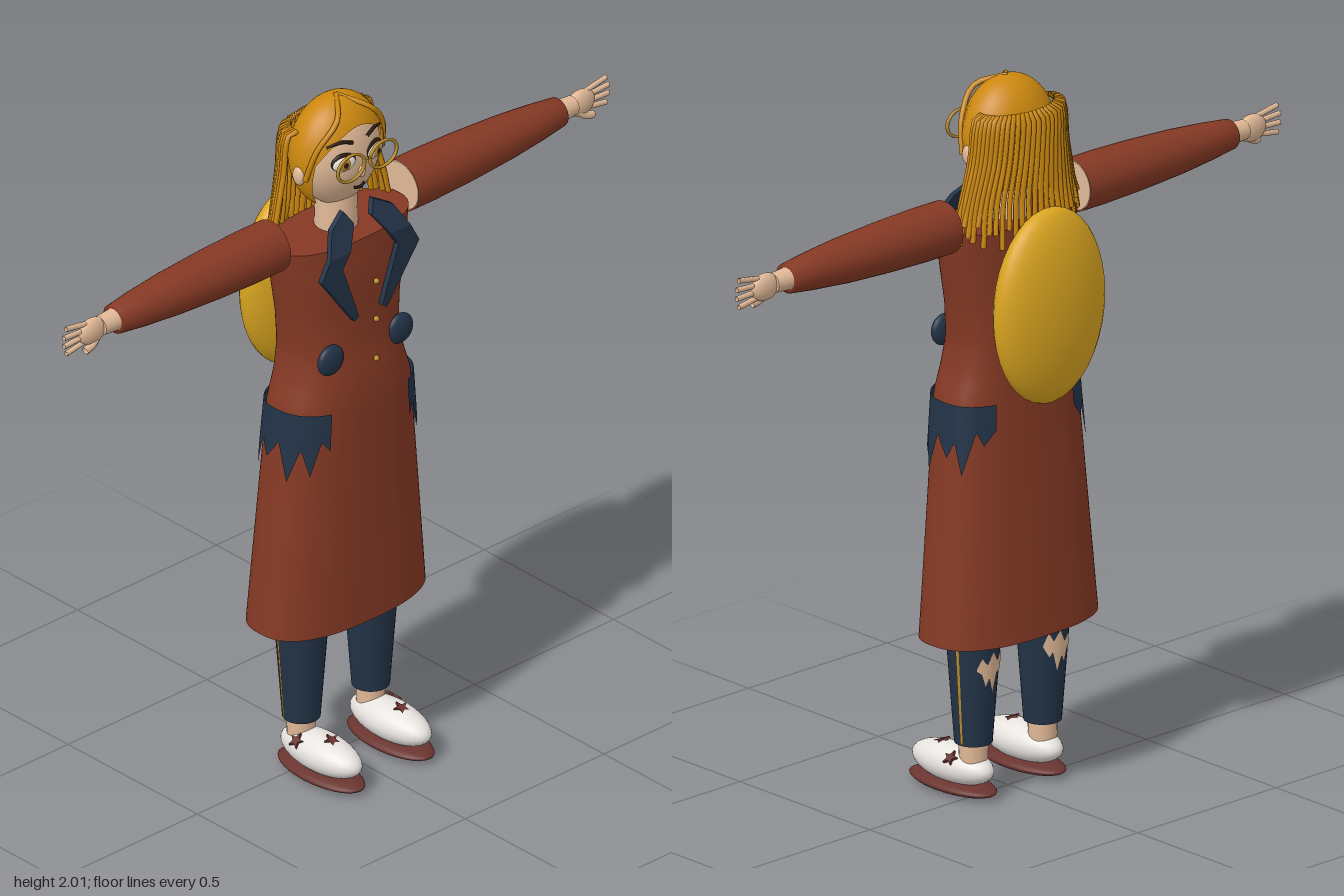
import * as THREE from 'three';
import { mergeVertices } from 'three/addons/utils/BufferGeometryUtils.js';

const mat = (name, color, side = THREE.FrontSide) => {
  const m = new THREE.MeshStandardMaterial({ color, side });
  m.name = name;
  return m;
};

// Piecewise linear lookup in rows of [key, value, value...], keys ascending
function sample(rows, k) {
  let i = 0;
  while (i < rows.length - 2 && k > rows[i + 1][0]) i++;
  const a = rows[i], b = rows[i + 1];
  const f = THREE.MathUtils.clamp((k - a[0]) / (b[0] - a[0]), 0, 1);
  return a.slice(1).map((v, j) => v + (b[j + 1] - v) * f);
}

// Surface from fn(u, v) => [x, y, z]
function grid(nu, nv, fn) {
  const pos = [], idx = [];
  for (let j = 0; j <= nv; j++) for (let i = 0; i <= nu; i++) pos.push(...fn(i / nu, j / nv));
  for (let j = 0; j < nv; j++) for (let i = 0; i < nu; i++) {
    const a = j * (nu + 1) + i, b = a + 1, c = a + nu + 1, d = c + 1;
    idx.push(a, b, c, b, d, c);
  }
  let g = new THREE.BufferGeometry();
  g.setAttribute('position', new THREE.Float32BufferAttribute(pos, 3));
  g.setIndex(idx);
  g = mergeVertices(g);
  g.computeVertexNormals();
  return g;
}

// Cloth strip on surf(t, y, offset), between a top and a bottom edge given over u
const strip = (surf, t0, t1, top, bottom, off, n = 48) => grid(n, 6, (u, v) => {
  const hi = sample(top, u)[0], lo = sample(bottom, u)[0];
  return surf(t0 + (t1 - t0) * u, hi + (lo - hi) * v, off);
});

// Coat sections: y, half width, front z, back z
const COAT = [[0.46, 0.275, 0.145, 0.15], [1.13, 0.215, 0.143, 0.108], [1.2, 0.19, 0.138, 0.106],
  [1.28, 0.177, 0.125, 0.106], [1.38, 0.185, 0.121, 0.104], [1.5, 0.207, 0.122, 0.102], [1.61, 0.225, 0.115, 0.1]];
const coatAt = (t, y, off = 0, k = 1) => {
  const [w, f, b] = sample(COAT, y), c = Math.cos(t), s = Math.sin(t);
  const p = (q) => Math.sign(q) * Math.abs(q) ** 0.8;
  return [p(c) * (w + off) * k, y, p(s) * ((s > 0 ? f : b) + off) * k];
};
const LEG_X = 0.125;
const legAt = (t, y, off = 0) => {
  const r = 0.051 + (y - 0.155) * 0.075 + off;
  return [LEG_X + Math.cos(t) * r, y, Math.sin(t) * r];
};

export function createModel() {
  const D = THREE.DoubleSide;
  const coat = mat('coat rust', 0x853924, D), navy = mat('navy cloth', 0x223347, D);
  const hair = mat('amber hair', 0xcc880f, D), pack = mat('backpack yellow', 0xdaa520);
  const skin = mat('skin', 0xe0b896, D), white = mat('shoe white', 0xf0ece8);
  const sole = mat('sole maroon', 0x6a3430), dark = mat('dark brown', 0x2a1810);
  const gold = mat('gold trim', 0xb88a2c, D);

  const model = new THREE.Group();
  const half = new THREE.Group(); // the +x side, mirrored afterwards
  const add = (parent, name, geo, m, x = 0, y = 0, z = 0) => {
    const mesh = new THREE.Mesh(geo, m);
    mesh.name = name;
    mesh.position.set(x, y, z);
    parent.add(mesh);
    return mesh;
  };
  const ball = (parent, name, m, c, r) => {
    const s = add(parent, name, new THREE.SphereGeometry(1, 32, 20), m, ...c);
    s.scale.set(...r);
    return s;
  };
  const tube = (parent, name, m, pts, r, n = 12) => add(parent, name, new THREE.TubeGeometry(
    new THREE.CatmullRomCurve3(pts.map((p) => new THREE.Vector3(...p))), n, r, 6), m);
  const TAU = Math.PI * 2;

  // Coat, backpack and buttons
  add(model, 'coat', grid(64, 40, (u, v) => coatAt(u * TAU, 1.61 - 1.15 * v)), coat);
  add(model, 'coatShoulders', grid(64, 2, (u, v) => coatAt(u * TAU, 1.61, 0, v)), coat);
  ball(model, 'backpack', pack, [0, 1.392, -0.158], [0.19, 0.273, 0.077]);
  for (const y of [1.475, 1.36, 1.24]) ball(model, 'button', gold, [0.022, y, 0.133], [0.008, 0.008, 0.008]);

  // Neck and head with a tapering chin
  add(model, 'neck', new THREE.CylinderGeometry(0.055, 0.06, 0.16, 24), skin, 0, 1.66, 0);
  const headGeo = new THREE.SphereGeometry(1, 40, 30);
  const hp = headGeo.attributes.position;
  for (let i = 0; i < hp.count; i++) {
    const y = hp.getY(i), k = y < 0 ? 1 - 0.2 * y * y : 1;
    hp.setXYZ(i, hp.getX(i) * 0.13 * k, y * 0.16, hp.getZ(i) * 0.1 * k);
  }
  headGeo.computeVertexNormals();
  add(model, 'head', headGeo, skin, 0, 1.832, 0);
  ball(model, 'nose', skin, [0, 1.805, 0.098], [0.011, 0.018, 0.012]);
  tube(model, 'mouth', dark, [[-0.02, 1.758, 0.088], [0, 1.753, 0.091], [0.02, 1.758, 0.088]], 0.004);

  // Hair cap with an arched hairline
  const LINE = [[-1, 2.6], [0.25, 2.5], [0.5, 1.5], [1, 0.92]];
  add(model, 'hairCap', grid(72, 24, (u, v) => {
    const t = u * TAU, phi = sample(LINE, Math.sin(t))[0] * v, s = Math.sin(phi);
    return [Math.cos(t) * s * 0.142, 1.835 + 0.165 * Math.cos(phi), Math.sin(t) * s * 0.106];
  }), hair);

  // Curtain of long strands round the back and sides
  for (let i = 0; i < 31; i++) {
    const a = -0.1 + (Math.PI + 0.2) * (i / 30), c = Math.cos(a), s = Math.sin(a);
    const end = 1.56 + 0.03 * Math.sin(i * 2.4) + 0.05 * Math.abs(c);
    tube(model, 'hairStrand', hair, [[0.12 * c, 1.92, -0.03 - 0.07 * s], [0.145 * c, 1.915, -0.035 - 0.08 * s],
      [0.165 * c, 1.8, -0.035 - 0.078 * s], [0.195 * c, 1.68, -0.03 - 0.073 * s], [0.21 * c, end, -0.03 - 0.08 * s]], 0.0075);
  }

  // Face details on one side
  tube(half, 'partingStrand', hair, [[0, 1.998, 0], [0.06, 1.965, 0.068], [0.118, 1.89, 0.053], [0.138, 1.8, 0.03]], 0.008);
  ball(half, 'ear', skin, [0.138, 1.805, 0.005], [0.014, 0.028, 0.02]);
  const eye = new THREE.Group();
  eye.name = 'eye';
  eye.position.set(0.055, 1.845, 0.09);
  eye.rotation.y = 0.25;
  half.add(eye);
  ball(eye, 'lashes', dark, [0, 0.003, -0.003], [0.037, 0.027, 0.01]);
  ball(eye, 'eyeWhite', white, [0, 0, 0], [0.034, 0.023, 0.011]);
  ball(eye, 'iris', gold, [0, 0, 0.007], [0.017, 0.019, 0.007]);
  ball(eye, 'pupil', dark, [0, 0, 0.011], [0.008, 0.01, 0.005]);
  tube(half, 'eyebrow', dark, [[0.025, 1.898, 0.092], [0.06, 1.908, 0.083], [0.095, 1.897, 0.064]], 0.005);
  const rim = add(half, 'glassesRim', new THREE.TorusGeometry(0.048, 0.005, 8, 36), gold, 0.058, 1.845, 0.121);
  rim.scale.y = 0.8;
  tube(half, 'glassesBridge', gold, [[0, 1.855, 0.122], [0.012, 1.852, 0.121]], 0.004, 2);

  // Lapel, folded back over the shoulder
  const lapel = new THREE.Shape([[0.053, 1.696], [0.032, 1.66], [0.072, 1.6], [0.1, 1.558], [0.042, 1.394],
    [0.058, 1.384], [0.175, 1.543], [0.144, 1.6], [0.11, 1.664]].map((p) => new THREE.Vector2(...p)));
  let lapelGeo = new THREE.ExtrudeGeometry(lapel, { depth: 0.016, bevelEnabled: false });
  const lp = lapelGeo.attributes.position;
  for (let i = 0; i < lp.count; i++) lp.setZ(i, lp.getZ(i) + 0.119 - Math.max(0, lp.getY(i) - 1.6) * 0.5);
  lapelGeo.computeVertexNormals();
  add(half, 'lapel', lapelGeo, navy);
  ball(half, 'waistTab', navy, [0.125, 1.283, 0.113], [0.044, 0.044, 0.02]);

  // Torn hip pocket wrapped round the side
  const torn = [[0, 1.06], [0.1, 1.02], [0.17, 1.06], [0.3, 0.94], [0.39, 1.03], [0.47, 0.98], [0.55, 1.04],
    [0.65, 0.93], [0.76, 1.03], [0.85, 0.95], [0.93, 1.05], [1, 1.02]];
  add(half, 'tornPocket', strip(coatAt, -1.0, 1.0, [[0, 1.13], [1, 1.13]], torn, 0.008, 60), navy);

  // Arm, sleeve and hand
  const arm = add(half, 'arm', new THREE.CylinderGeometry(0.027, 0.069, 0.62, 24), skin, 0.542, 1.627, 0);
  arm.rotation.z = -Math.PI / 2;
  const sleeve = add(half, 'sleeve', new THREE.LatheGeometry([[0.073, 0.23], [0.0735, 0.32], [0.07, 0.45], [0.062, 0.6],
    [0.051, 0.72], [0.041, 0.8], [0.03, 0.801]].map((p) => new THREE.Vector2(...p)), 32), coat, 0, 1.627, 0);
  sleeve.rotation.z = -Math.PI / 2;
  ball(half, 'palm', skin, [0.88, 1.624, 0], [0.048, 0.038, 0.022]);
  for (let i = 0; i < 4; i++) {
    const k = i - 1.5, len = 0.07 - Math.abs(k) * 0.008;
    const y = 1.627 + k * 0.017;
    tube(half, 'finger', skin, [[0.9, y, 0], [0.915 + len / 2, y + k * 0.005, 0], [0.915 + len, y + k * 0.008, 0]], 0.0075, 6);
  }
  tube(half, 'thumb', skin, [[0.86, 1.61, 0.005], [0.885, 1.588, 0.01], [0.915, 1.58, 0.012]], 0.011, 6);

  // Trouser leg with side stripe and torn patch
  add(half, 'trouserLeg', grid(32, 8, (u, v) => legAt(u * TAU, 0.62 - 0.465 * v)), navy);
  add(half, 'trouserStripe', strip(legAt, -0.27, -0.13, [[0, 0.6], [1, 0.6]], [[0, 0.16], [1, 0.16]], 0.003, 3), gold);
  const upper = [[0, 0.385], [0.15, 0.42], [0.3, 0.395], [0.5, 0.425], [0.68, 0.39], [0.85, 0.41], [1, 0.38]];
  const lower = [[0, 0.38], [0.18, 0.35], [0.28, 0.365], [0.45, 0.305], [0.6, 0.35], [0.72, 0.325], [0.85, 0.365], [1, 0.375]];
  add(half, 'tornKneePatch', strip(legAt, -2.3, -0.95, upper, lower, 0.003), skin);

  // Ankle, shoe and sole
  add(half, 'ankle', new THREE.CylinderGeometry(0.04, 0.038, 0.09, 24), skin, LEG_X, 0.125, 0);
  ball(half, 'shoe', white, [LEG_X, 0.077, 0.078], [0.063, 0.053, 0.144]);
  ball(half, 'sole', sole, [LEG_X, 0.021, 0.078], [0.069, 0.021, 0.153]);
  const starShape = new THREE.Shape(Array.from({ length: 10 }, (_, i) => {
    const r = i % 2 ? 0.01 : 0.023, a = i * Math.PI / 5;
    return new THREE.Vector2(Math.sin(a) * r, Math.cos(a) * r);
  }));
  const starGeo = new THREE.ExtrudeGeometry(starShape, { depth: 0.008, bevelEnabled: false });
  const sideStar = add(half, 'shoeStar', starGeo, sole, LEG_X + 0.048, 0.107, 0.035);
  sideStar.rotation.set(-0.85, Math.PI / 2, 0, 'YXZ');
  const topStar = add(half, 'shoeTongue', starGeo, sole, LEG_X, 0.123, 0.118);
  topStar.rotation.x = -1.2;

  // Mirror the side parts
  half.name = 'leftSide';
  const other = half.clone();
  other.name = 'rightSide';
  other.scale.x = -1;
  model.add(half, other);
  return model;
}
